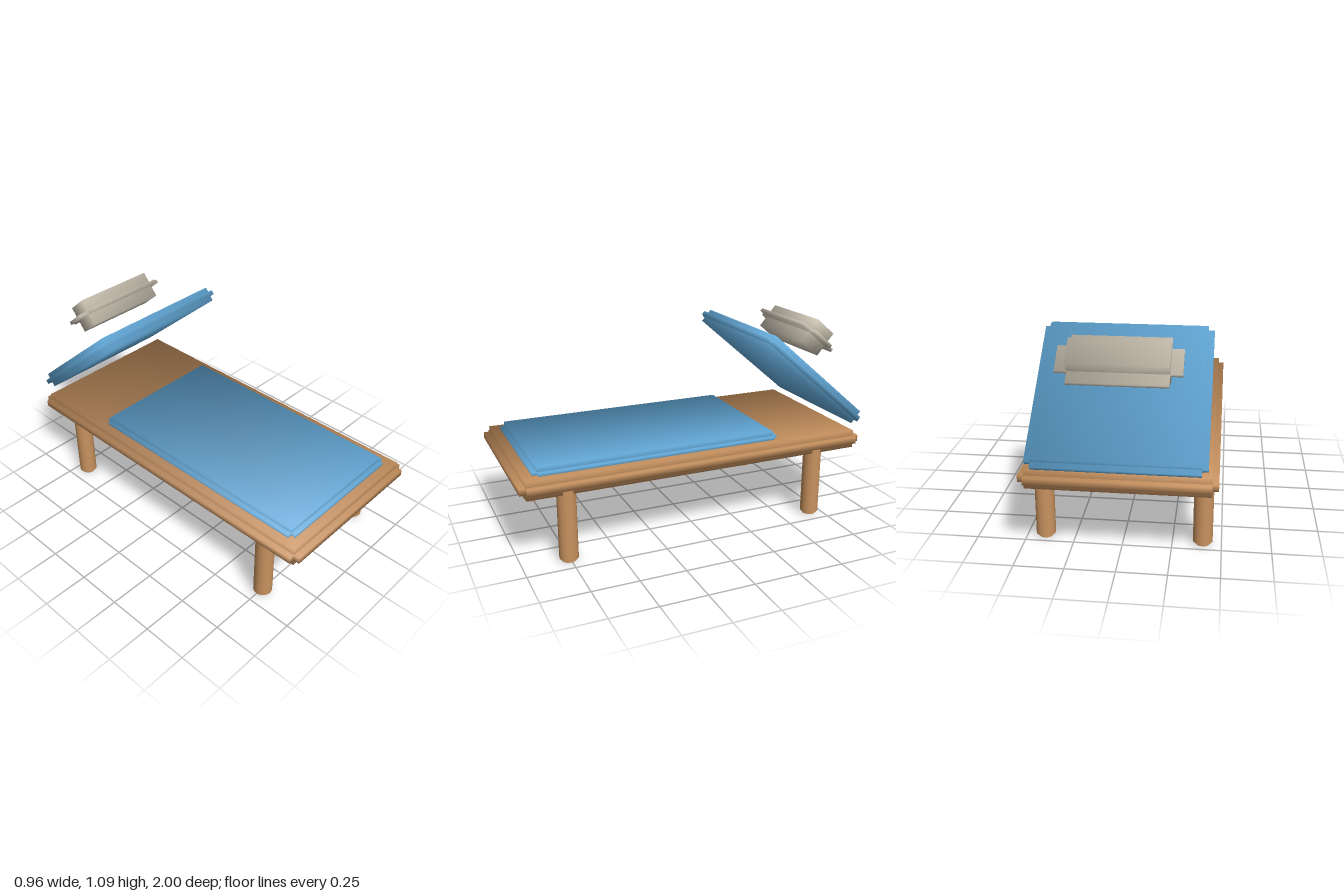
import * as THREE from 'three';

const wood = new THREE.MeshStandardMaterial({ color: 0xc8925f });
wood.name = 'wood';
const blue = new THREE.MeshStandardMaterial({ color: 0x64abdb });
blue.name = 'blue upholstery';
const beige = new THREE.MeshStandardMaterial({ color: 0xc9c1b1 });
beige.name = 'beige cushion';

// Box whose corner normals are averaged, for soft shading over hard geometry
function softBox(w, h, d) {
  const g = new THREE.BoxGeometry(w, h, d);
  const p = g.attributes.position, n = g.attributes.normal, k = 1 / Math.sqrt(3);
  for (let i = 0; i < p.count; i++) {
    n.setXYZ(i, Math.sign(p.getX(i)) * k, Math.sign(p.getY(i)) * k, Math.sign(p.getZ(i)) * k);
  }
  return g;
}

// Slab with stepped edges: a core plus thin flanges along the sides and ends
function steppedSlab(name, material, outer, inner) {
  const group = new THREE.Group();
  group.name = name;
  const [W, H, D] = outer, [w, h, d] = inner;
  const parts = { Core: [w, H, d], SideFlange: [W, h, d], EndFlange: [w, h, D] };
  for (const key in parts) {
    const mesh = new THREE.Mesh(softBox(...parts[key]), material);
    mesh.name = name + key;
    group.add(mesh);
  }
  return group;
}

// Round leg with a small stepped foot and a narrow top pin
function makeLeg(x, z) {
  const leg = new THREE.Group();
  leg.name = 'leg';
  const pieces = [['legPost', 0.05, 0.015, 0.41], ['legFoot', 0.037, 0, 0.02]];
  for (const [name, r, y0, y1] of pieces) {
    const mesh = new THREE.Mesh(new THREE.CylinderGeometry(r, r, y1 - y0, 32), wood);
    mesh.name = name;
    mesh.position.y = (y0 + y1) / 2;
    leg.add(mesh);
  }
  leg.position.set(x, 0, z);
  return leg;
}

export function createModel() {
  const model = new THREE.Group();
  model.name = 'reclinerBed';

  // Wooden platform
  const frame = steppedSlab('frame', wood, [0.956, 0.1, 1.956], [0.894, 0.036, 1.89]);
  frame.position.set(0, 0.43, 0.022);
  model.add(frame);

  // Flat mattress
  const mattress = steppedSlab('mattress', blue, [0.806, 0.08, 1.38], [0.756, 0.03, 1.33]);
  mattress.position.set(0, 0.48, 0.228);
  model.add(mattress);

  // Tilted backrest and the head pillow behind it
  const tilt = -THREE.MathUtils.degToRad(40.5);
  const backrest = steppedSlab('backrest', blue, [0.856, 0.085, 0.815], [0.796, 0.026, 0.76]);
  backrest.position.set(0, 0.784, -0.682);
  backrest.rotation.x = tilt;
  model.add(backrest);

  const pillow = steppedSlab('pillow', beige, [0.595, 0.155, 0.262], [0.478, 0.02, 0.14]);
  pillow.position.set(0, 0.988, -0.788);
  pillow.rotation.x = tilt;
  model.add(pillow);

  // Four legs
  for (const x of [-0.405, 0.405]) {
    for (const z of [0.757, -0.682]) model.add(makeLeg(x, z));
  }
  return model;
}
